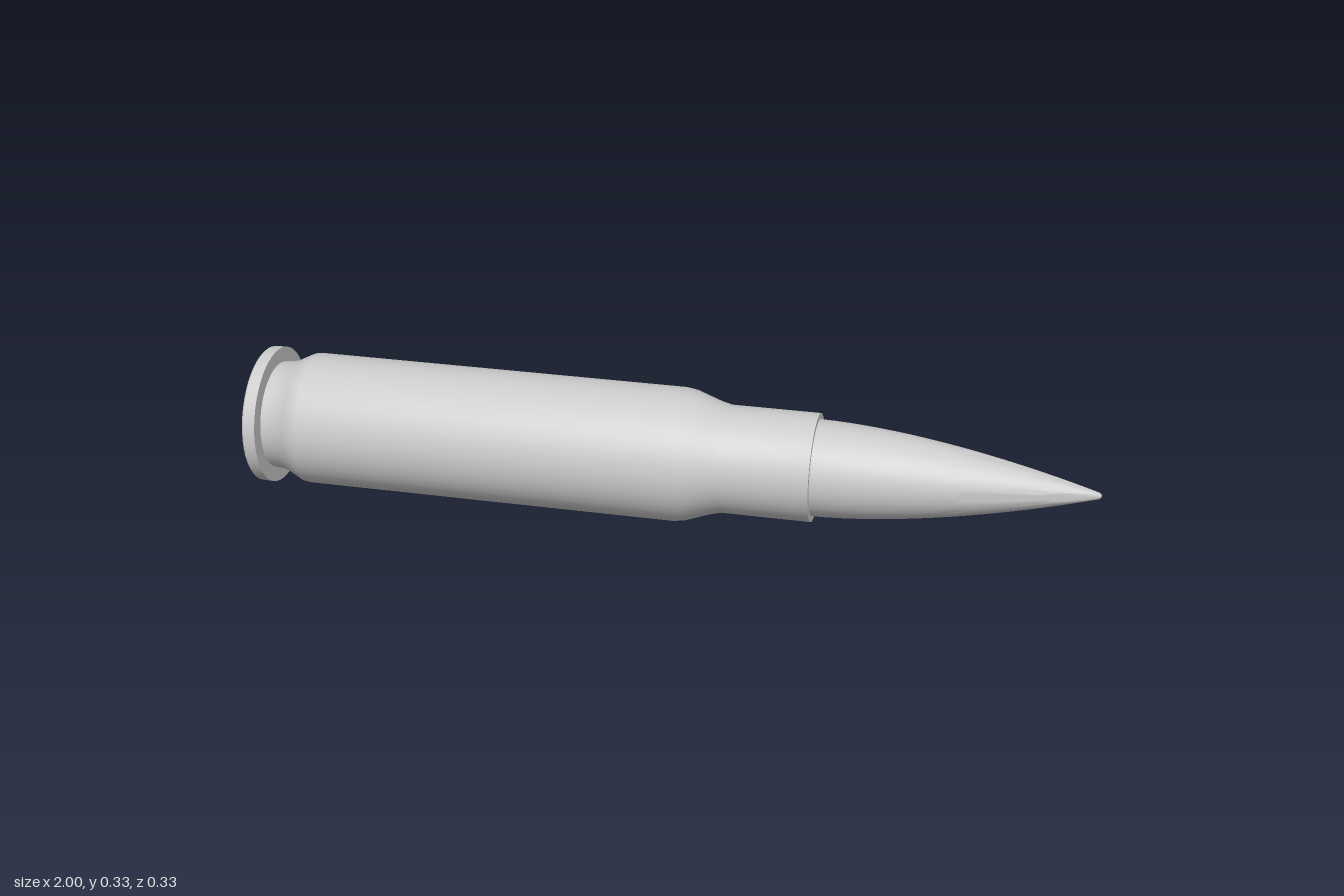
import * as THREE from 'three';
import { toCreasedNormals } from 'three/addons/utils/BufferGeometryUtils.js';

const AXIS_Y = 0.165; // height of the long axis
const SIDES = 48;

const material = new THREE.MeshStandardMaterial({ color: 0xcccccc });

// Turned part: profile pairs are [x along the axis, radius], from tail to tip
function turned(name, profile) {
  const points = profile.map(([x, r]) => new THREE.Vector2(r, x));
  const geometry = toCreasedNormals(new THREE.LatheGeometry(points, SIDES), 0.6);
  geometry.rotateZ(-Math.PI / 2);
  const mesh = new THREE.Mesh(geometry, material);
  mesh.name = name;
  return mesh;
}

export function createModel() {
  const round = new THREE.Group();
  round.name = 'cartridge';
  round.position.y = AXIS_Y;

  // Casing: primer pocket, rim, extractor groove, body, shoulder, neck, mouth
  round.add(turned('casing', [
    [-0.985, 0], [-0.985, 0.091], [-1, 0.091],
    [-1, 0.16], [-0.996, 0.164], [-0.967, 0.165], [-0.967, 0.129],
    [-0.945, 0.131], [-0.925, 0.136], [-0.905, 0.146], [-0.885, 0.156], [-0.87, 0.158],
    [0.03, 0.158], [0.055, 0.154], [0.115, 0.133], [0.14, 0.127],
    [0.35, 0.127], [0.35, 0.108],
  ]));

  // Primer disc set in the base
  round.add(turned('primer', [
    [-0.997, 0], [-0.997, 0.083], [-0.994, 0.086], [-0.984, 0.086],
  ]));

  // Bullet: curved nose with a small rounded tip
  const nose = [[0.3, 0.113]];
  const steps = 20;
  for (let i = 0; i <= steps; i++) {
    const t = i / steps;
    nose.push([0.35 + 0.643 * t, 0.008 + 0.105 * (1 - t ** 1.7)]);
  }
  nose.push([0.998, 0.005], [1, 0]);
  round.add(turned('bullet', nose));

  const model = new THREE.Group();
  model.name = 'model';
  model.add(round);
  return model;
}
